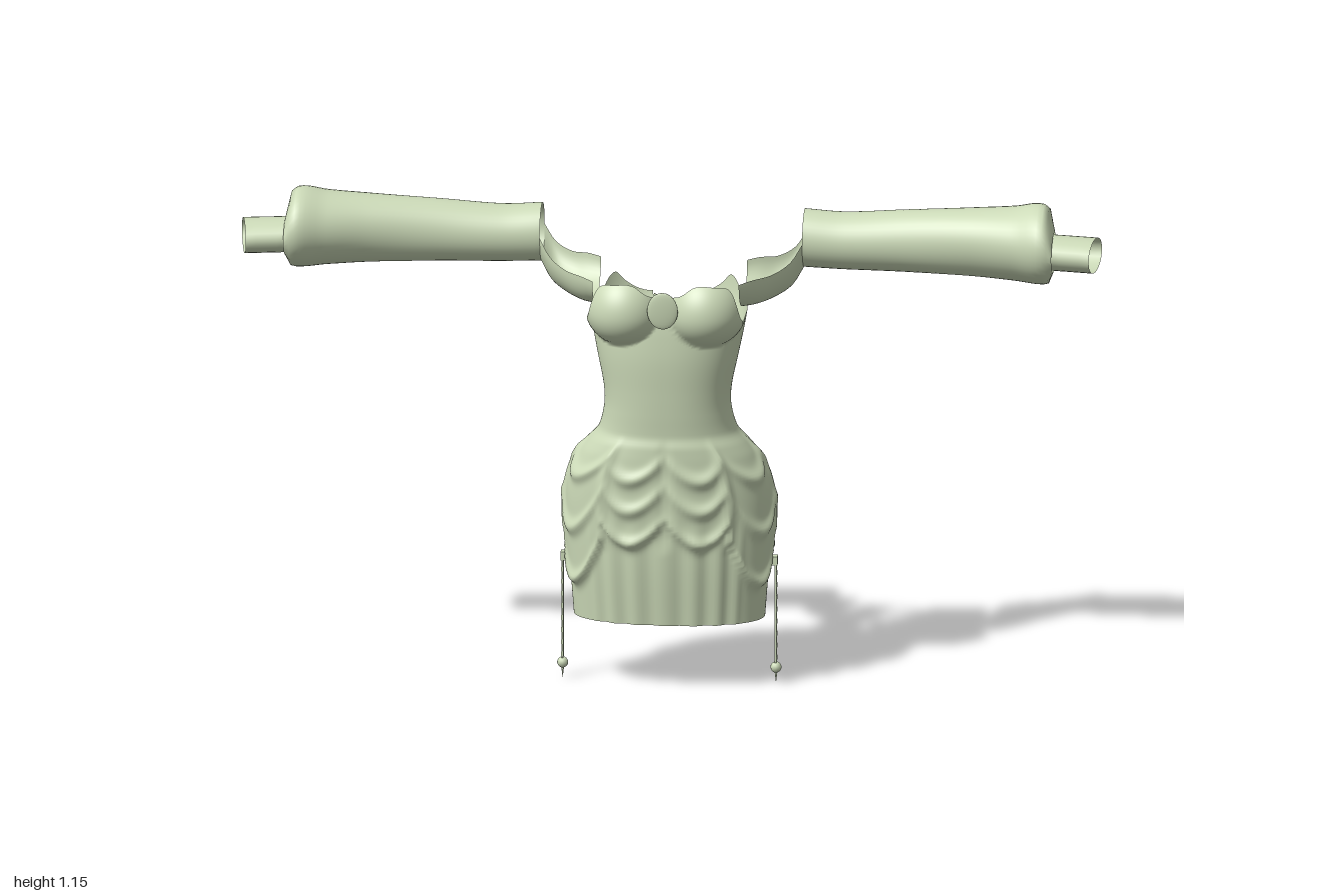
import * as THREE from 'three';
import { mergeVertices } from 'three/addons/utils/BufferGeometryUtils.js';

const cloth = new THREE.MeshStandardMaterial({ color: 0xccdab8, side: THREE.DoubleSide });
cloth.name = 'sage cloth';

const { smoothstep, lerp } = THREE.MathUtils;

// Smooth surface from a rule (u, v in 0..1) -> [x, y, z]
function surface(name, nu, nv, rule) {
  const pos = [], idx = [];
  for (let j = 0; j <= nv; j++)
    for (let i = 0; i <= nu; i++) pos.push(...rule(i / nu, j / nv));
  for (let j = 0; j < nv; j++)
    for (let i = 0; i < nu; i++) {
      const a = j * (nu + 1) + i, b = a + nu + 1;
      idx.push(a, b, a + 1, a + 1, b, b + 1);
    }
  let g = new THREE.BufferGeometry();
  g.setAttribute('position', new THREE.Float32BufferAttribute(pos, 3));
  g.setIndex(idx);
  g = mergeVertices(g, 1e-5);
  g.computeVertexNormals();
  return named(name, g);
}

function named(name, geometry) {
  const m = new THREE.Mesh(geometry, cloth);
  m.name = name;
  return m;
}

// Interpolate rows [key, a, b, ...] with a softened cubic
function sample(rows, k) {
  let i = 0;
  while (i < rows.length - 2 && k > rows[i + 1][0]) i++;
  const p = rows[Math.max(i - 1, 0)], a = rows[i], b = rows[i + 1], q = rows[Math.min(i + 2, rows.length - 1)];
  const h = b[0] - a[0], t = Math.min(Math.max((k - a[0]) / h, 0), 1);
  return a.slice(1).map((av, n) => {
    const c = n + 1;
    const ma = (b[c] - p[c]) / (b[0] - p[0]) * h, mb = (q[c] - a[c]) / (q[0] - a[0]) * h;
    const t2 = t * t, t3 = t2 * t;
    return av * (2 * t3 - 3 * t2 + 1) + ma * (t3 - 2 * t2 + t) + b[c] * (3 * t2 - 2 * t3) + mb * (t3 - t2);
  });
}

// Dress: height, half width, front z, back z
const BODY = [
  [0.16, 0.222, 0.095, -0.13], [0.3, 0.232, 0.113, -0.147], [0.42, 0.237, 0.122, -0.16],
  [0.5, 0.226, 0.126, -0.15], [0.56, 0.2, 0.127, -0.128], [0.61, 0.165, 0.126, -0.1],
  [0.67, 0.148, 0.13, -0.079], [0.72, 0.148, 0.133, -0.08], [0.8, 0.164, 0.137, -0.105],
  [0.86, 0.176, 0.135, -0.13], [0.91, 0.183, 0.13, -0.148], [1.0, 0.186, 0.12, -0.155],
];
// Top edge by depth (sine of the angle): back, side, front
const RIM = [[-1, 0.9], [-0.93, 0.925], [-0.85, 0.95], [-0.6, 0.91], [0.1, 0.905], [0.5, 0.975], [0.8, 0.988], [0.93, 0.985], [1, 0.955]];

// Swags: start angle, end angle (from front centre), start y, end y, sag
const SWAGS = [
  [0, 0.62, 0.57, 0.56, 0.05], [0, 0.62, 0.5, 0.5, 0.06], [0, 0.62, 0.42, 0.42, 0.06],
  [0.62, 1.55, 0.57, 0.57, 0.06], [0.62, 1.55, 0.48, 0.46, 0.09], [0.62, 1.55, 0.37, 0.34, 0.1],
  [1.55, Math.PI, 0.55, 0.58, 0.04], [1.55, Math.PI, 0.45, 0.57, 0.09], [1.55, Math.PI, 0.33, 0.52, 0.07],
];
const bell = (d, s) => Math.exp(-d * d / (s * s));

function drape(phi, y) {
  if (y > 0.66) return 0;
  let d = 0, hem = 1;
  for (const [a, b, y0, y1, sag] of SWAGS) {
    if (phi < a || phi > b) continue;
    const t = (phi - a) / (b - a);
    const c = lerp(y0, y1, t) - 4 * sag * t * (1 - t);
    hem = Math.min(hem, c);
    d += 0.011 * bell(y - c, 0.017) * (0.35 + 0.65 * Math.sin(Math.PI * t));
  }
  const gathered = smoothstep(y, 0.33, 0.38) * (1 - smoothstep(y, 0.56, 0.62));
  d += 0.008 * gathered * (bell(phi - 0.62, 0.06) + bell(phi - 1.55, 0.06));
  d -= 0.006 * gathered * bell(phi, 0.04);
  d += 0.006 * smoothstep(y, hem - 0.015, hem) * (1 - smoothstep(y, 0.59, 0.62));
  // soft pleats on the underskirt front
  d += 0.003 * Math.cos(phi * 24) * (1 - smoothstep(phi, 0.7, 0.9)) * (1 - smoothstep(y, 0.36, 0.44));
  return d;
}

const gap = y => y < 0.675 ? 0 : 0.01 + 0.034 * (y - 0.675) / 0.225;

function bodyPoint(angle, y, seam = 0) {
  const [hw, zf, zb] = sample(BODY, y);
  const a = -Math.PI / 2 + seam + (angle / (2 * Math.PI)) * (2 * Math.PI - 2 * seam);
  const c = Math.cos(a), s = Math.sin(a), e = 0.9;
  const phi = Math.abs(Math.atan2(c, s)), d = drape(phi, y);
  const x = Math.sign(c) * Math.abs(c) ** e * (hw + d);
  let z = (zf + zb) / 2 + Math.sign(s) * Math.abs(s) ** e * ((zf - zb) / 2 + d);
  // rounded bust cups
  if (s > 0) {
    const r = 1 - ((Math.abs(x) - 0.093) / 0.094) ** 2 - ((y - 0.915) / (y > 0.915 ? 0.1 : 0.085)) ** 2;
    if (r > 0) z = Math.max(z, 0.075 + 0.1 * Math.sqrt(r));
  }
  return [x, y, z];
}

function dress() {
  return surface('dressBody', 160, 130, (u, v) => {
    const angle = u * 2 * Math.PI;
    const top = sample(RIM, Math.sin(angle - Math.PI / 2))[0];
    let y = 0.16 + v * 0.83;
    if (y > 0.78) y = 0.78 + (y - 0.78) / 0.21 * (top - 0.78);
    const seam = gap(y) / sample(BODY, y)[0];
    return bodyPoint(angle, y, seam);
  });
}

// Crossed laces over the back opening
function lacing() {
  const g = new THREE.Group();
  g.name = 'backLacing';
  const edge = (side, y) => new THREE.Vector3(side * (gap(y) + 0.006), y, sample(BODY, y)[2] - 0.001);
  for (let i = 0; i < 6; i++) {
    const y0 = 0.685 + i * 0.034, y1 = y0 + 0.034;
    for (const s of [-1, 1]) {
      const path = new THREE.LineCurve3(edge(s, y0), edge(-s, y1));
      g.add(named('lace', new THREE.TubeGeometry(path, 1, 0.004, 6)));
    }
  }
  return g;
}

// Sleeve: x, centre y, radius y, centre z, radius z
const SLEEVE = [
  [0.305, 1.043, 0.068, -0.115, 0.065], [0.4, 1.039, 0.067, -0.113, 0.067], [0.55, 1.045, 0.073, -0.104, 0.07],
  [0.7, 1.052, 0.08, -0.085, 0.076], [0.8, 1.056, 0.087, -0.062, 0.084], [0.86, 1.06, 0.094, -0.043, 0.09],
  [0.885, 1.055, 0.082, -0.036, 0.082], [0.893, 1.046, 0.045, -0.022, 0.065],
];
// Off-shoulder strap: x, front z, back z, top y, bottom y
const STRAP = [
  [0.17, 0.085, -0.135, 0.98, 0.905], [0.2, 0.06, -0.145, 0.985, 0.905], [0.24, 0.01, -0.16, 0.985, 0.913],
  [0.28, -0.03, -0.175, 1.005, 0.935], [0.305, -0.05, -0.18, 1.043, 0.975],
];

function arm(s) {
  const g = new THREE.Group();
  g.name = s > 0 ? 'leftSleeve' : 'rightSleeve';
  g.add(surface('sleeve', 40, 48, (u, v) => {
    const x = lerp(0.305, 0.893, v), [yc, ry, zc, rz] = sample(SLEEVE, x);
    const a = u * 2 * Math.PI, sag = 1 + 0.025 * smoothstep(x, 0.4, 0.8) * Math.sin(3 * a + x * 9);
    return [s * x, yc + ry * sag * Math.sin(a), zc + rz * sag * Math.cos(a)];
  }));
  g.add(surface('shoulderStrap', 24, 16, (u, v) => {
    const x = lerp(0.17, 0.305, v), [zf, zb, yt, yb] = sample(STRAP, x);
    const a = (u - 0.5) * Math.PI;
    return [s * x, yt - (yt - yb) * Math.cos(a), (zf + zb) / 2 + (zf - zb) / 2 * Math.sin(a)];
  }));
  g.add(surface('cuff', 28, 4, (u, v) => {
    const a = u * 2 * Math.PI, c = Math.cos(a);
    return [s * (lerp(0.885, 0.99, v) - 0.01 * c * v), 1.046 - 0.003 * v + 0.04 * Math.sin(a), -0.026 + 0.008 * v + 0.062 * c];
  }));
  return g;
}

// Ladder-like garter strap with a clip
function garter(s) {
  const g = new THREE.Group();
  g.name = s > 0 ? 'leftGarter' : 'rightGarter';
  const add = (name, geo, x, y, z) => {
    const m = named(name, geo);
    m.position.set(s * x, y, z);
    g.add(m);
  };
  for (const z of [-0.019, -0.003]) add('garterEdge', new THREE.BoxGeometry(0.004, 0.25, 0.005), 0.248, 0.175, z);
  for (let i = 0; i < 9; i++) add('garterRung', new THREE.BoxGeometry(0.005, 0.011, 0.018), 0.248, 0.06 + i * 0.029, -0.011);
  add('garterBuckle', new THREE.BoxGeometry(0.014, 0.02, 0.022), 0.245, 0.295, -0.011);
  add('garterClip', new THREE.SphereGeometry(0.013, 12, 8), 0.248, 0.038, -0.011);
  add('clipTip', new THREE.ConeGeometry(0.004, 0.03, 6).rotateX(Math.PI), 0.248, 0.015, -0.011);
  return g;
}

export function createModel() {
  const model = new THREE.Group();
  model.name = 'dress';
  model.add(dress(), lacing());
  for (const s of [1, -1]) model.add(arm(s), garter(s));

  // Oval ornament between the cups
  const brooch = named('brooch', new THREE.SphereGeometry(1, 24, 12));
  brooch.scale.set(0.036, 0.045, 0.006);
  brooch.position.set(0, 0.935, 0.165);
  brooch.rotation.x = 0.08;
  model.add(brooch);

  // Inner gusset, narrow between the legs
  model.add(surface('innerGusset', 8, 24, (u, v) => {
    const t = 2 * v - 1, w = 0.014 + 0.085 * Math.abs(t) ** 2.5;
    return [(2 * u - 1) * w, 0.27 + 0.16 * t * t * t * t, -0.02 - 0.125 * Math.sin(t * Math.PI / 2)];
  }));
  return model;
}
